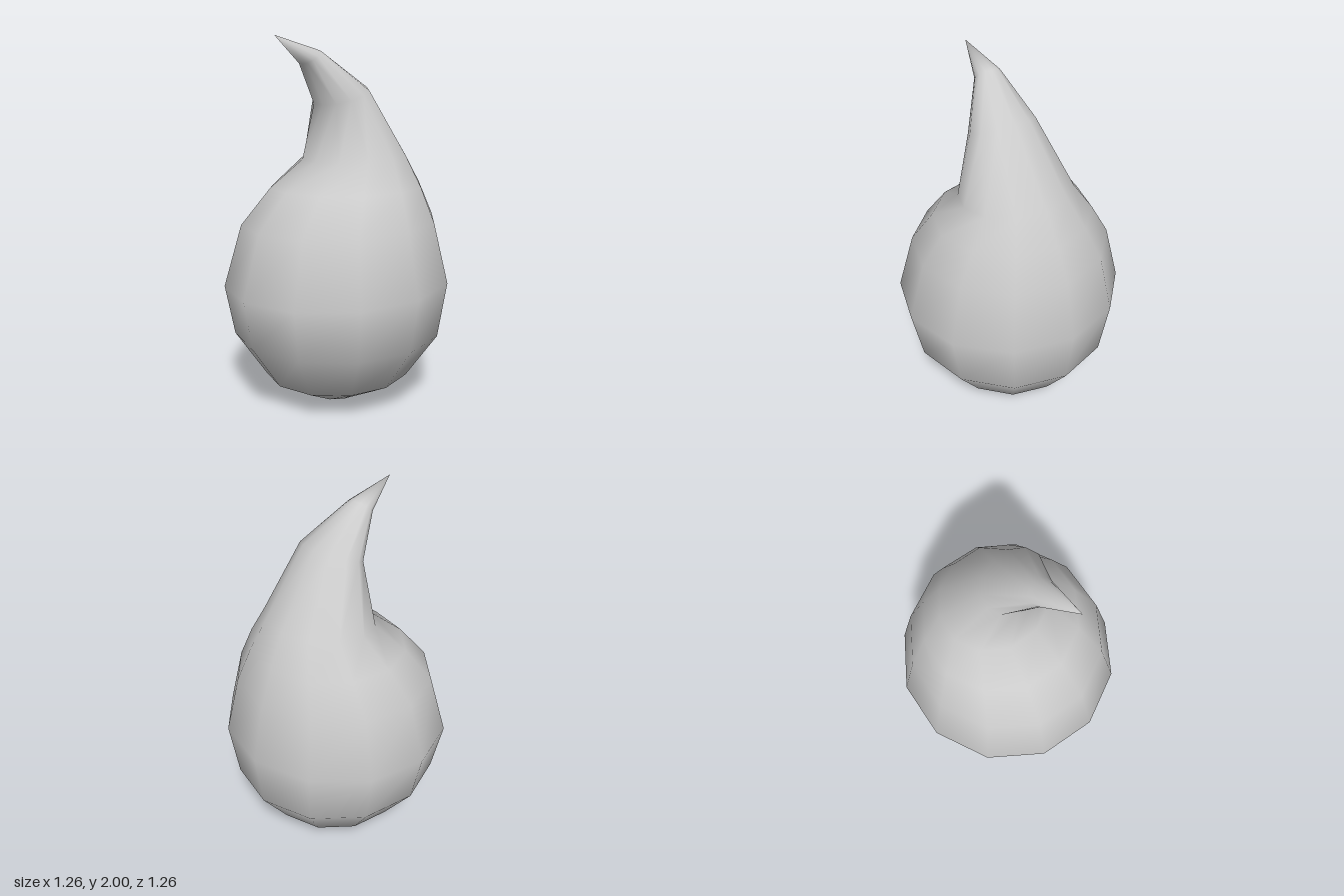
import * as THREE from 'three';

const SIDES = 12;
// horizontal direction the tail curls toward, and the direction across it
const ALONG = new THREE.Vector2(-0.56, 0.83);
const ACROSS = new THREE.Vector2(0.83, 0.56);

// tilted oval rings, bottom to top:
// [outer offset, outer height, inner offset, inner height, half width across, sideways shift]
const RINGS = [
  [-0.19, 0.03, 0.14, 0.0, 0.15, 0],
  [-0.42, 0.15, 0.41, 0.14, 0.40, 0],
  [-0.59, 0.40, 0.58, 0.39, 0.575, 0],
  [-0.63, 0.72, 0.63, 0.66, 0.63, 0],
  [-0.555, 1.04, 0.53, 1.0, 0.54, 0],
  [-0.475, 1.22, 0.36, 1.20, 0.43, 0.01],
  [-0.38, 1.39, 0.17, 1.35, 0.31, 0.02],
  [-0.12, 1.75, 0.13, 1.65, 0.185, 0.035],
  [0.14, 1.935, 0.24, 1.86, 0.07, 0.005],
];

function loftDroplet() {
  const points = [];
  const faces = [];
  const add = (along, y, across) => points.push(
    ALONG.x * along + ACROSS.x * across, y, ALONG.y * along + ACROSS.y * across);

  for (const [outU, outY, inU, inY, half, shift] of RINGS) {
    for (let j = 0; j < SIDES; j++) {
      const a = (j / SIDES) * Math.PI * 2;
      const t = (1 + Math.cos(a)) / 2; // 0 on the outer side, 1 on the inner side
      add(outU + (inU - outU) * t, outY + (inY - outY) * t, shift + half * Math.sin(a));
    }
  }
  const base = RINGS.length * SIDES;
  const tip = base + 1;
  add(-0.02, 0.005, 0);
  add(0.411, 2.0, 0);

  const last = (RINGS.length - 1) * SIDES;
  for (let j = 0; j < SIDES; j++) {
    const k = (j + 1) % SIDES;
    faces.push(base, k, j);
    for (let r = 0; r < last; r += SIDES) {
      faces.push(r + j, r + k, r + SIDES + k, r + j, r + SIDES + k, r + SIDES + j);
    }
    faces.push(last + j, last + k, tip);
  }

  const geometry = new THREE.BufferGeometry();
  geometry.setAttribute('position', new THREE.Float32BufferAttribute(points, 3));
  geometry.setIndex(faces);
  geometry.computeVertexNormals();
  return geometry;
}

export function createModel() {
  const group = new THREE.Group();
  group.name = 'droplet';
  // round body drawn up into a curled tail
  const body = new THREE.Mesh(loftDroplet(), new THREE.MeshStandardMaterial({ color: 0xcccccc }));
  body.name = 'dropletBody';
  group.add(body);
  return group;
}
